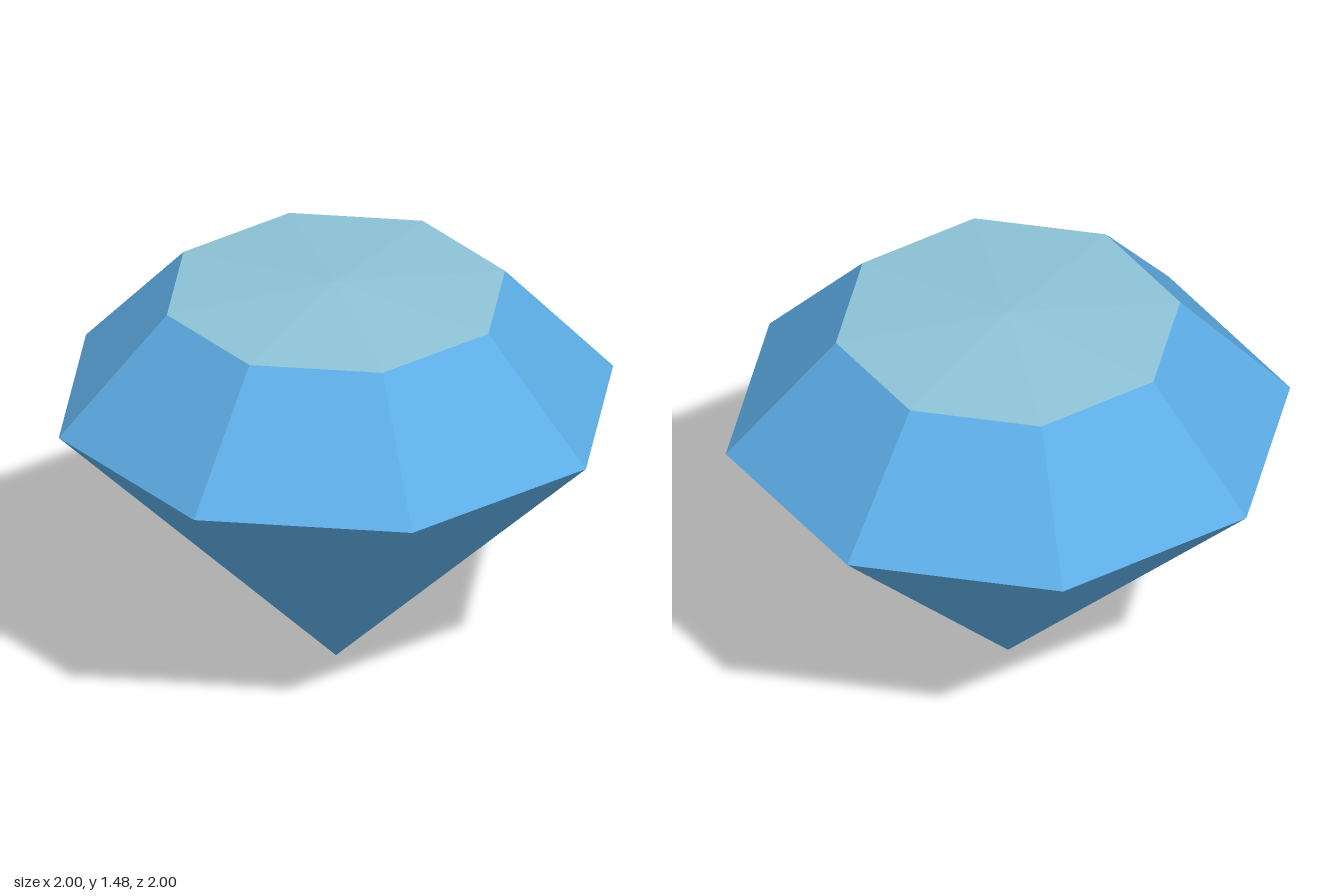
import * as THREE from 'three';

const SIDES = 8;
const GIRDLE_RADIUS = 1, TABLE_RADIUS = 0.61;
const GIRDLE_Y = 1, TABLE_Y = 1.43, TOP_Y = 1.475;

export function createModel() {
  const blue = new THREE.MeshStandardMaterial({ color: 0x5dade6, flatShading: true });
  blue.name = 'gemBlue';
  const pale = new THREE.MeshStandardMaterial({ color: 0x8cc3d6, flatShading: true });
  pale.name = 'paleTeal';

  const gem = new THREE.Group();
  gem.name = 'gem';

  // One open ring of facets between two heights
  function facets(name, bottomRadius, bottomY, topRadius, topY, material) {
    const height = topY - bottomY;
    const geometry = new THREE.CylinderGeometry(topRadius, bottomRadius, height, SIDES, 1, true);
    geometry.translate(0, bottomY + height / 2, 0);
    const mesh = new THREE.Mesh(geometry, material);
    mesh.name = name;
    gem.add(mesh);
  }

  // Pointed lower half, sloping upper band and shallow top
  facets('pavilion', 0, 0, GIRDLE_RADIUS, GIRDLE_Y, blue);
  facets('crown', GIRDLE_RADIUS, GIRDLE_Y, TABLE_RADIUS, TABLE_Y, blue);
  facets('table', TABLE_RADIUS, TABLE_Y, 0, TOP_Y, pale);

  return gem;
}
